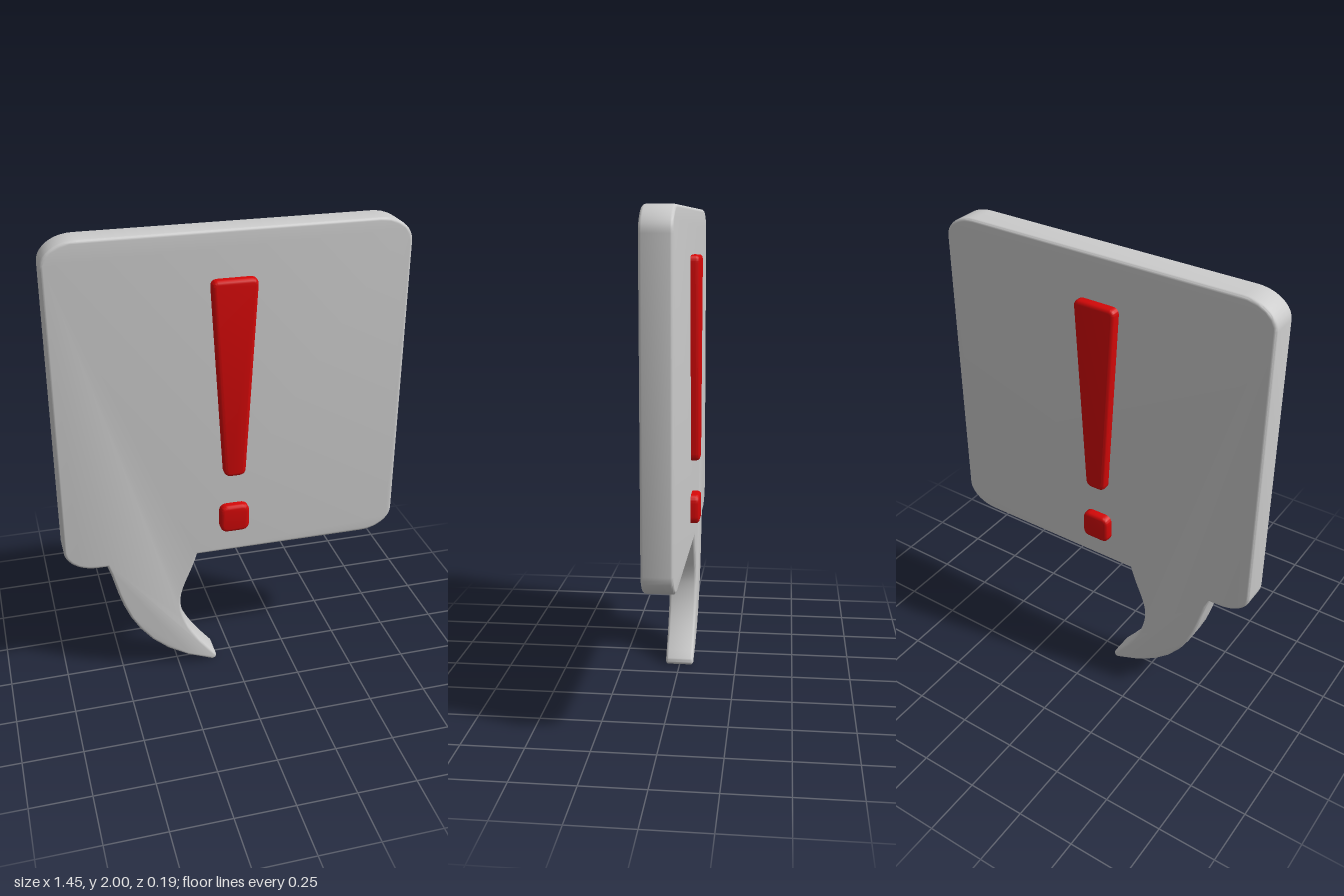
import * as THREE from 'three';
import { toCreasedNormals } from 'three/addons/utils/BufferGeometryUtils.js';

// Extrude an outline symmetrically about z = 0 with rounded edges kept inside the outline
function slab(name, shape, halfDepth, bevel, material) {
  const depth = 2 * (halfDepth - bevel);
  const geometry = new THREE.ExtrudeGeometry(shape, {
    depth, curveSegments: 10, bevelEnabled: true, bevelSegments: 3,
    bevelSize: bevel, bevelThickness: bevel, bevelOffset: -bevel,
  });
  geometry.translate(0, 0, -depth / 2);
  const mesh = new THREE.Mesh(toCreasedNormals(geometry, 0.7), material);
  mesh.name = name;
  return mesh;
}

// Closed polygon with its corners rounded by radius r
function roundedPolygon(points, r) {
  const v = points.map(([x, y]) => new THREE.Vector2(x, y));
  const shape = new THREE.Shape();
  v.forEach((p, i) => {
    const prev = v[(i + v.length - 1) % v.length], next = v[(i + 1) % v.length];
    const a = p.clone().add(prev.clone().sub(p).setLength(r));
    const b = p.clone().add(next.clone().sub(p).setLength(r));
    if (i === 0) shape.moveTo(a.x, a.y); else shape.lineTo(a.x, a.y);
    shape.quadraticCurveTo(p.x, p.y, b.x, b.y);
  });
  shape.closePath();
  return shape;
}

export function createModel() {
  const grey = new THREE.MeshStandardMaterial({ color: 0xcccccc });
  grey.name = 'light grey';
  const red = new THREE.MeshStandardMaterial({ color: 0xd40808 });
  red.name = 'red';

  const model = new THREE.Group();
  model.name = 'alertSpeechBubble';

  // Bubble outline, counter-clockwise, with the curved tail in the bottom edge
  const w = 0.727, top = 2, bottom = 0.585, cx = 0.14, cy = 0.1;
  const kx = cx * 0.45, ky = cy * 0.45;
  const s = new THREE.Shape();
  s.moveTo(-w + cx, bottom);
  s.lineTo(-0.55, bottom);
  s.bezierCurveTo(-0.5, 0.47, -0.51, 0.14, -0.1, 0.005);
  s.bezierCurveTo(-0.085, 0, -0.07, 0.018, -0.083, 0.035);
  s.bezierCurveTo(-0.16, 0.13, -0.23, 0.22, -0.238, 0.34);
  s.bezierCurveTo(-0.24, 0.42, -0.19, 0.48, -0.16, bottom);
  s.lineTo(w - cx, bottom);
  s.bezierCurveTo(w - kx, bottom, w, bottom + ky, w, bottom + cy);
  s.lineTo(w, top - cy);
  s.bezierCurveTo(w, top - ky, w - kx, top, w - cx, top);
  s.lineTo(-w + cx, top);
  s.bezierCurveTo(-w + kx, top, -w, top - ky, -w, top - cy);
  s.lineTo(-w, bottom + cy);
  s.bezierCurveTo(-w, bottom + ky, -w + kx, bottom, -w + cx, bottom);
  model.add(slab('bubble', s, 0.061, 0.012, grey));

  // Exclamation mark, passing through the bubble to show on both sides
  const bar = roundedPolygon([[-0.045, 0.965], [0.045, 0.965], [0.094, 1.812], [-0.094, 1.812]], 0.03);
  const dot = roundedPolygon([[-0.063, 0.697], [0.063, 0.697], [0.063, 0.822], [-0.063, 0.822]], 0.035);
  model.add(slab('markBar', bar, 0.097, 0.015, red));
  model.add(slab('markDot', dot, 0.097, 0.015, red));

  return model;
}
